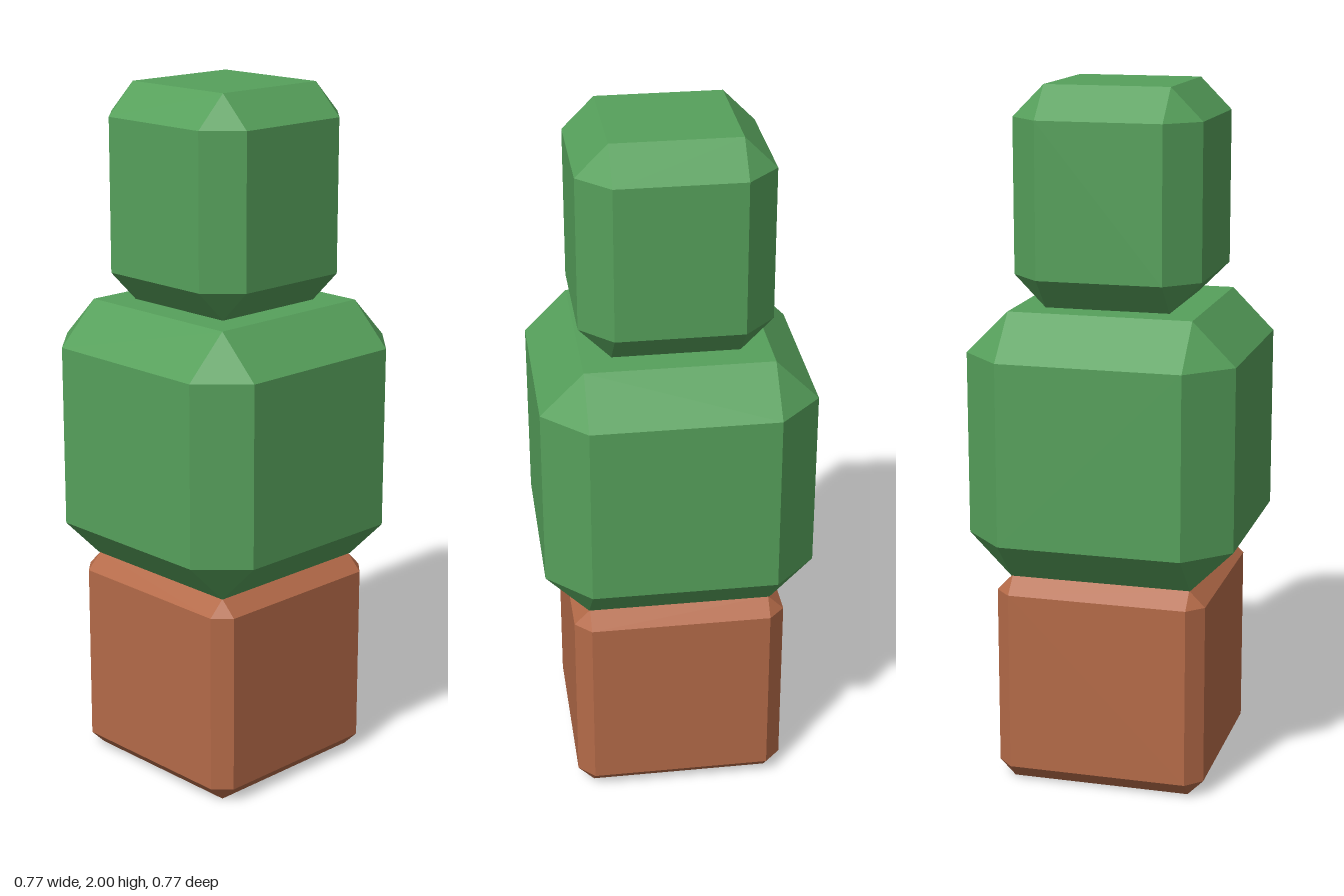
import * as THREE from 'three';
import { ConvexGeometry } from 'three/addons/geometries/ConvexGeometry.js';

// Cuboid with every edge cut at 45 degrees, leaving a triangle at each corner
function chamferedBox(half, height, cut) {
  const h = height / 2;
  const points = [];
  for (const x of [-1, 1]) for (const y of [-1, 1]) for (const z of [-1, 1]) {
    points.push(
      new THREE.Vector3(x * half, y * (h - cut), z * (half - cut)),
      new THREE.Vector3(x * (half - cut), y * h, z * (half - cut)),
      new THREE.Vector3(x * (half - cut), y * (h - cut), z * half)
    );
  }
  return new ConvexGeometry(points);
}

export function createModel() {
  const group = new THREE.Group();
  group.name = 'blockTree';

  const bark = new THREE.MeshStandardMaterial({ color: 0xb46a48 });
  bark.name = 'bark brown';
  const leaf = new THREE.MeshStandardMaterial({ color: 0x56a05b });
  leaf.name = 'leaf green';

  // Blocks stacked from the ground up
  const blocks = [
    { name: 'trunk', half: 0.305, height: 0.616, cut: 0.046, material: bark },
    { name: 'lowerFoliage', half: 0.384, height: 0.768, cut: 0.122, material: leaf },
    { name: 'upperFoliage', half: 0.268, height: 0.616, cut: 0.09, material: leaf },
  ];

  let base = 0;
  for (const { name, half, height, cut, material } of blocks) {
    const mesh = new THREE.Mesh(chamferedBox(half, height, cut), material);
    mesh.name = name;
    mesh.position.y = base + height / 2;
    group.add(mesh);
    base += height;
  }
  return group;
}
